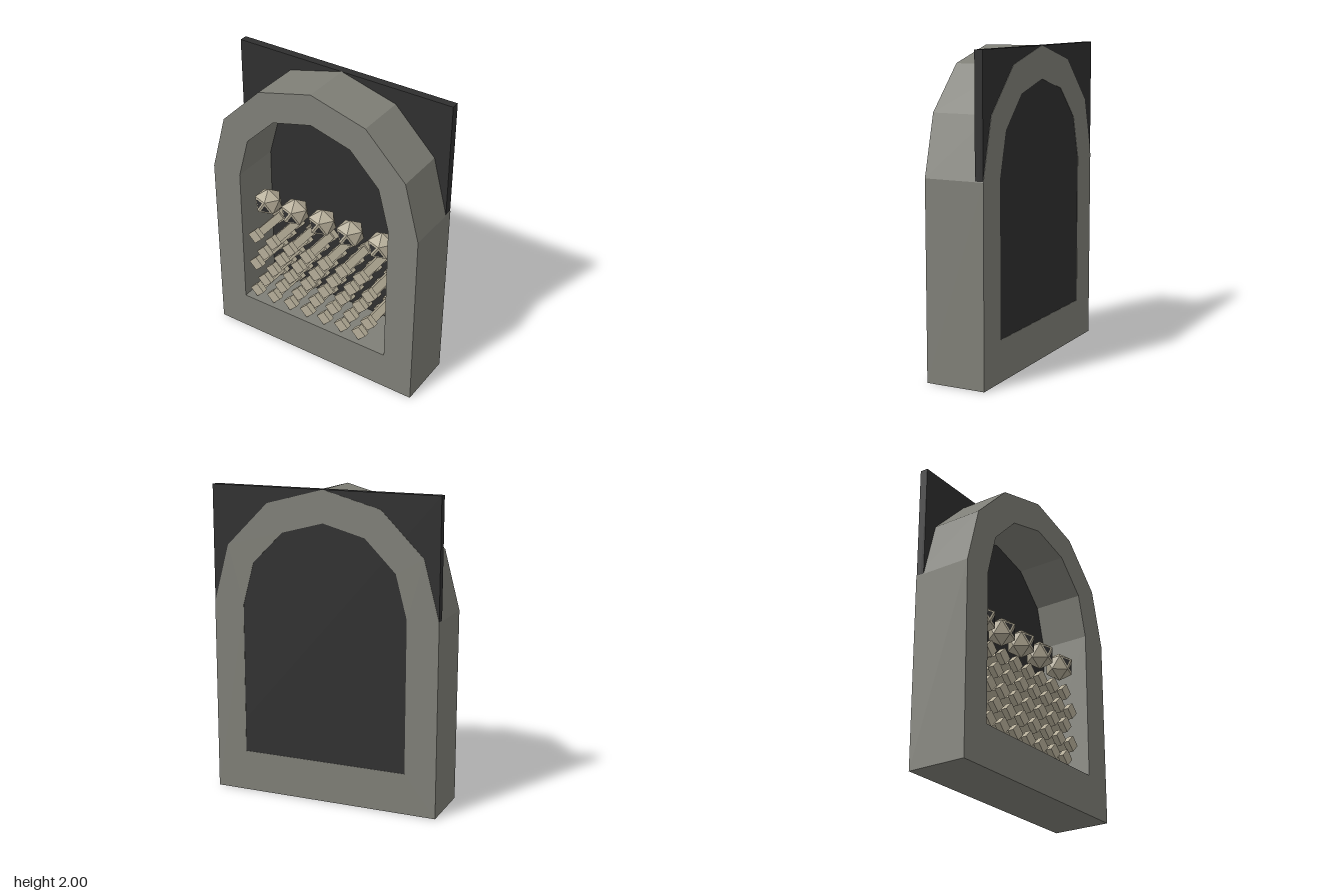
import * as THREE from 'three';

const mat = (name, color) => {
  const m = new THREE.MeshStandardMaterial({ color });
  m.name = name;
  return m;
};

export function createModel() {
  const stone = mat('stone', 0x7f7f77);
  const dark = mat('dark backing', 0x2f2f2f);
  const bone = mat('bone', 0xb5ad98);
  const group = new THREE.Group();
  group.name = 'ossuaryNiche';

  const add = (parent, name, geometry, material, x = 0, y = 0, z = 0) => {
    const mesh = new THREE.Mesh(geometry, material);
    mesh.name = name;
    mesh.position.set(x, y, z);
    parent.add(mesh);
    return mesh;
  };

  // Arched outline: straight sides with a six-sided half circle on top
  const spring = 1.245, depth = 0.39;
  const archPoints = (r, bottom) => {
    const pts = [new THREE.Vector2(-r, bottom), new THREE.Vector2(r, bottom)];
    for (let i = 0; i <= 6; i++) {
      const a = (i * Math.PI) / 6;
      pts.push(new THREE.Vector2(r * Math.cos(a), spring + r * Math.sin(a)));
    }
    return pts;
  };

  // Stone frame
  const frame = new THREE.Shape(archPoints(0.755, 0));
  frame.holes.push(new THREE.Path(archPoints(0.55, 0.265)));
  add(group, 'archFrame',
    new THREE.ExtrudeGeometry(frame, { depth, bevelEnabled: false }), stone, 0, 0, -depth / 2);

  // Back plate, a hair inside the frame's back face
  add(group, 'backPlate', new THREE.BoxGeometry(1.508, 1.75, 0.053), dark, 0, 1.125, -0.1665);

  // Skull: icosahedron standing on a vertex, with two dark triangular eyes
  const R = 0.097;
  const ring = (start, y) => Array.from({ length: 5 }, (_, i) => {
    const a = THREE.MathUtils.degToRad(start + 72 * i);
    const r = 2 / Math.sqrt(5);
    return [r * Math.sin(a), y, r * Math.cos(a)];
  });
  const h = 1 / Math.sqrt(5);
  const verts = [[0, 1, 0], [0, -1, 0], ...ring(-54, h), ...ring(-18, -h)];
  const faces = [];
  for (let i = 0; i < 5; i++) {
    const u = 2 + i, u2 = 2 + ((i + 1) % 5), l = 7 + i, l2 = 7 + ((i + 1) % 5);
    faces.push(0, u, u2, u, l, u2, l, l2, u2, 1, l2, l);
  }
  const skullGeo = new THREE.PolyhedronGeometry(verts.flat(), faces, R, 0);

  // Eye: a shrunken copy of one face, lifted slightly off it
  const eyeGeo = (ids) => {
    const p = ids.map((i) => new THREE.Vector3(...verts[i]).multiplyScalar(R));
    const c = p[0].clone().add(p[1]).add(p[2]).divideScalar(3);
    const lift = c.clone().setLength(0.002);
    const geo = new THREE.BufferGeometry().setFromPoints(
      p.map((v) => c.clone().lerp(v, 0.62).add(lift)));
    geo.computeVertexNormals();
    return geo;
  };
  const eyes = [eyeGeo([2, 7, 3]), eyeGeo([7, 8, 3])];

  [-0.43, -0.22, -0.01, 0.2, 0.43].forEach((x) => {
    const skull = new THREE.Group();
    skull.name = 'skull';
    skull.position.set(x, 1.01, 0.06);
    add(skull, 'cranium', skullGeo, bone);
    eyes.forEach((g) => add(skull, 'eye', g, dark));
    group.add(skull);
  });

  // Stacked bones: square shafts on edge with wider ends
  const square = (halfDiagonal, length) =>
    new THREE.BoxGeometry(halfDiagonal * Math.SQRT2, halfDiagonal * Math.SQRT2, length)
      .rotateZ(Math.PI / 4);
  const shaft = square(0.037, 0.29);
  const knob = square(0.053, 0.04);
  for (let row = 0; row < 5; row++) {
    for (let i = 0; i < 7; i++) {
      const b = new THREE.Group();
      b.name = 'longBone';
      b.position.set(-0.47 + 0.135 * i + (row % 2) * 0.066, 0.33 + 0.1115 * row, 0.015);
      add(b, 'boneShaft', shaft, bone);
      for (const s of [-1, 1]) add(b, 'boneEnd', knob, bone, 0, 0, s * 0.135);
      group.add(b);
    }
  }
  return group;
}
